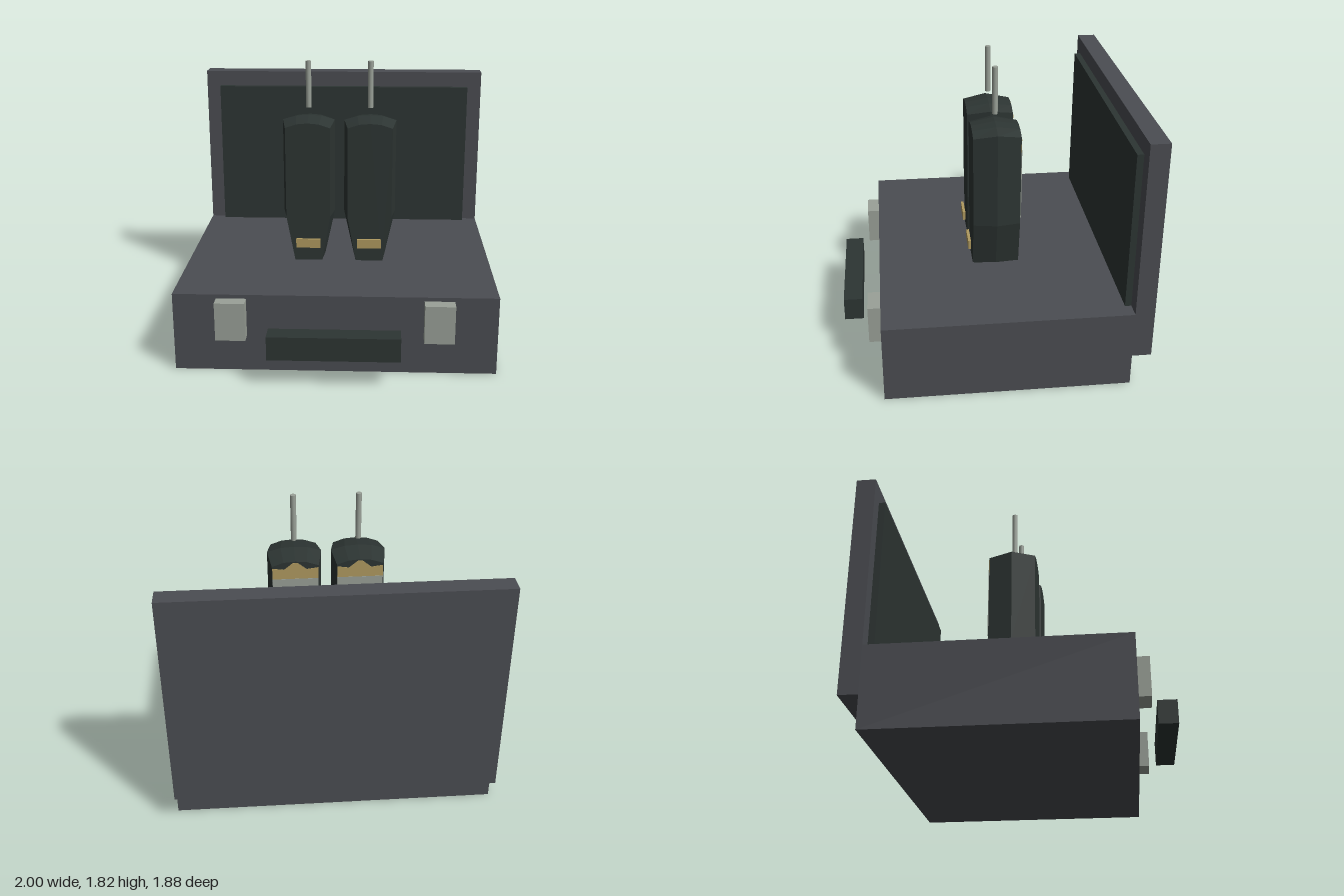
import * as THREE from 'three';

const material = (name, color) => {
  const m = new THREE.MeshStandardMaterial({ color });
  m.name = name;
  return m;
};

export function createModel() {
  const group = new THREE.Group();
  const caseGrey = material('case grey', 0x4b4d52);
  const darkGreen = material('dark green', 0x2d3533);
  const metal = material('pale metal', 0x9aa198);
  const gold = material('gold', 0xb09a60);

  const add = (name, geometry, mat, parent = group) => {
    const mesh = new THREE.Mesh(geometry, mat);
    mesh.name = name;
    parent.add(mesh);
    return mesh;
  };
  // Box given by its lower and upper limits on each axis
  const box = (name, mat, [x0, x1], [y0, y1], [z0, z1], parent) => {
    const mesh = add(name, new THREE.BoxGeometry(x1 - x0, y1 - y0, z1 - z0), mat, parent);
    mesh.position.set((x0 + x1) / 2, (y0 + y1) / 2, (z0 + z1) / 2);
    return mesh;
  };
  const outline = (points) => new THREE.Shape(points.map(([x, y]) => new THREE.Vector2(x, y)));

  // Open case with its raised lid
  box('caseBase', caseGrey, [-1, 1], [0, 0.505], [-0.82, 0.7]);
  box('lid', caseGrey, [-1, 1], [0.205, 1.62], [-0.94, -0.82]);
  box('lidPadding', darkGreen, [-0.9, 0.9], [0.5, 1.515], [-0.82, -0.78]);
  box('handle', darkGreen, [-0.4, 0.4], [0.19, 0.34], [0.82, 0.94]);

  // Handset body: tapered outline, widest halfway through its depth
  const half = [[0.1, 0.48], [0.171, 0.81], [0.171, 1.433], [0.085, 1.458]];
  const mirrored = half.map(([x, y]) => [-x, y]).reverse();
  const body = new THREE.ExtrudeGeometry(outline([...half, [0, 1.464], ...mirrored]),
    { depth: 0.3, steps: 2, bevelEnabled: false });
  body.translate(0, 0, -0.15);
  const p = body.attributes.position;
  for (let i = 0; i < p.count; i++) {
    const t = Math.abs(p.getZ(i)) / 0.15;
    p.setX(i, p.getX(i) * (1 - 0.15 * t));
    if (p.getY(i) > 1) p.setY(i, p.getY(i) - 0.025 * t);
  }
  body.computeVertexNormals();

  // Peaked gold band for the upper back of each handset
  const band = new THREE.ExtrudeGeometry(outline([
    [-0.143, 1.3], [0.143, 1.3], [0.143, 1.395], [0.07, 1.385], [0.015, 1.43],
    [-0.015, 1.43], [-0.07, 1.385], [-0.143, 1.395],
  ]), { depth: 0.003, bevelEnabled: false });

  for (const side of [-1, 1]) {
    const latch = box('latch', metal, [-0.0925, 0.0925], [0.235, 0.48], [0.7, 0.78]);
    latch.position.x = side * 0.6375;

    const handset = new THREE.Group();
    handset.name = 'handset';
    handset.position.set(side * 0.202, 0, -0.06);
    group.add(handset);
    add('handsetBody', body, darkGreen, handset);
    box('frontTag', gold, [-0.08, 0.08], [0.6, 0.66], [0.16, 0.178], handset);
    add('backBand', band, gold, handset).position.z = -0.153;
    box('backPanel', metal, [-0.143, 0.143], [0.85, 1.32], [-0.155, -0.15], handset);
    const antenna = add('antenna', new THREE.CylinderGeometry(0.018, 0.018, 0.305, 12), metal, handset);
    antenna.position.y = 1.667;
  }
  return group;
}
